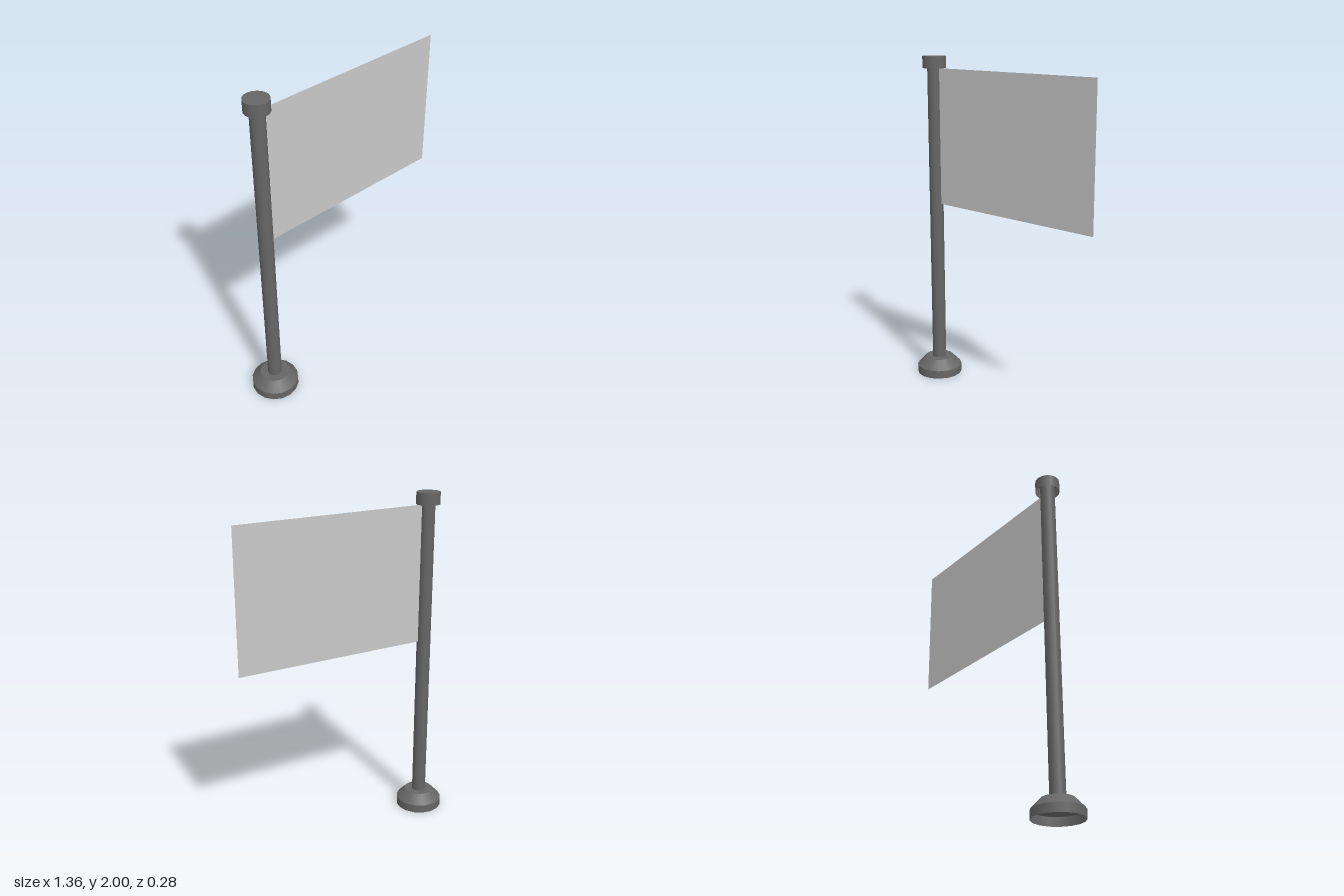
import * as THREE from 'three';

const SIDES = 16;
const POLE_X = -0.54;

export function createModel() {
  const model = new THREE.Group();
  model.name = 'flagOnPole';

  const metal = new THREE.MeshStandardMaterial({ color: 0x666666, side: THREE.DoubleSide });
  metal.name = 'dark grey metal';
  const cloth = new THREE.MeshStandardMaterial({ color: 0xc8c8c8, side: THREE.DoubleSide });
  cloth.name = 'light grey cloth';

  function add(name, geometry, material, x, y) {
    const mesh = new THREE.Mesh(geometry, material);
    mesh.name = name;
    mesh.position.set(x, y, 0);
    model.add(mesh);
  }

  // Round wall of given radii between two heights, open at both ends
  function wall(name, rTop, rBottom, y0, y1) {
    const geometry = new THREE.CylinderGeometry(rTop, rBottom, y1 - y0, SIDES, 1, true);
    add(name, geometry, metal, POLE_X, (y0 + y1) / 2);
  }

  // Flat upward-facing disc or ring
  function ring(name, inner, outer, y) {
    const geometry = inner > 0
      ? new THREE.RingGeometry(inner, outer, SIDES)
      : new THREE.CircleGeometry(outer, SIDES);
    add(name, geometry.rotateX(-Math.PI / 2), metal, POLE_X, y);
  }

  // Hollow foot: straight rim, sloped shoulder, flat top around the pole
  wall('baseRim', 0.14, 0.14, 0, 0.05);
  wall('baseShoulder', 0.087, 0.14, 0.05, 0.105);
  ring('baseTop', 0.042, 0.087, 0.105);

  // Pole
  wall('pole', 0.042, 0.042, 0.105, 2);

  // Cap, open underneath
  wall('capWall', 0.07, 0.07, 1.93, 2);
  ring('capTop', 0, 0.07, 2);

  // Flat flag, starting at the pole's surface
  const left = POLE_X + 0.042, right = 0.675, bottom = 1.11, top = 1.93;
  add('flag', new THREE.PlaneGeometry(right - left, top - bottom), cloth,
    (left + right) / 2, (bottom + top) / 2);

  return model;
}
